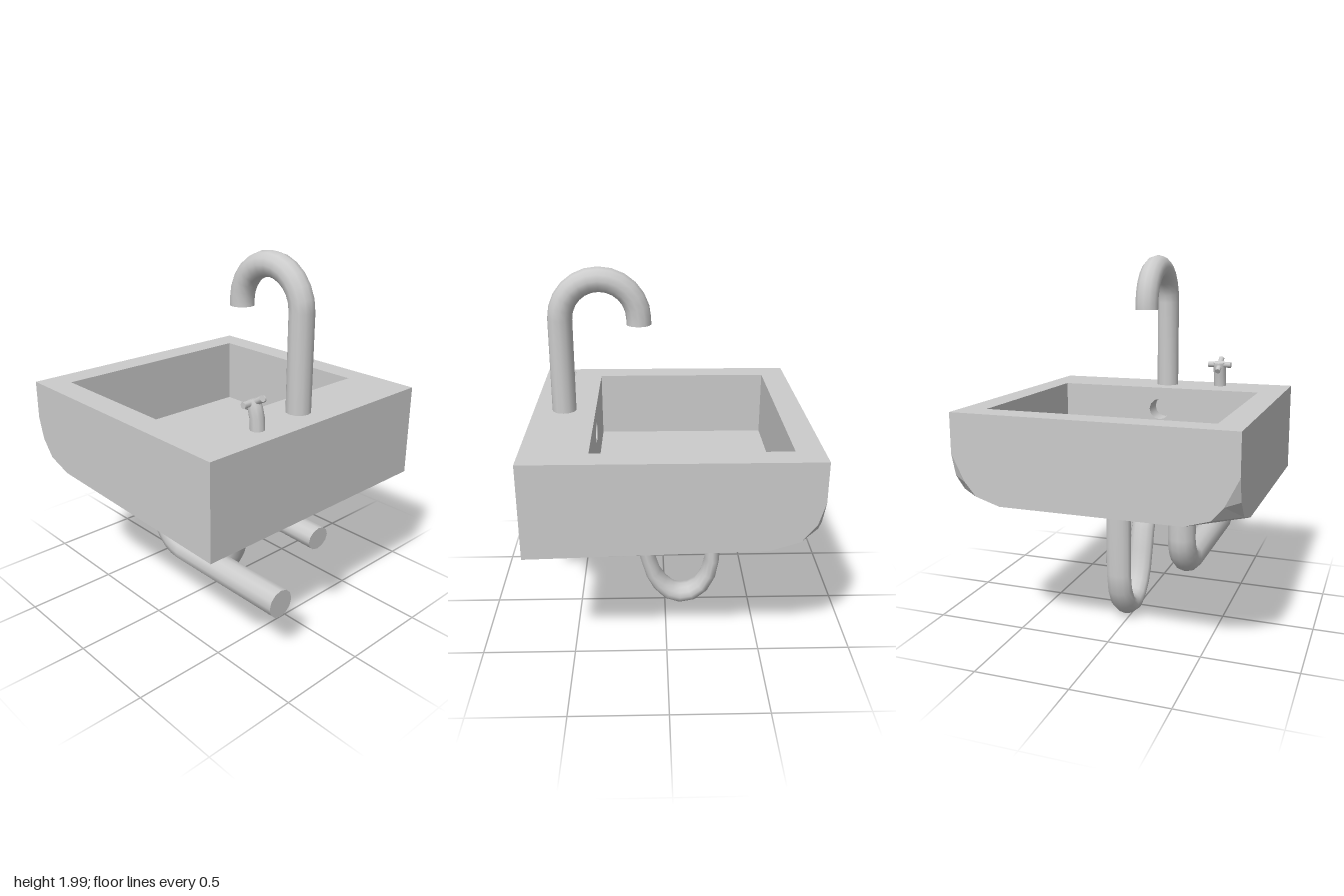
import * as THREE from 'three';

const grey = new THREE.MeshStandardMaterial({ color: 0xcccccc });

function add(parent, geometry, name) {
  const mesh = new THREE.Mesh(geometry, grey);
  mesh.name = name;
  parent.add(mesh);
  return mesh;
}

// Flat convex polygons; each is turned so that it faces its "out" direction
function facets(list) {
  const pos = [];
  for (const [pts, out] of list) {
    const p = pts.map((a) => new THREE.Vector3(...a));
    const n = new THREE.Vector3();
    for (let i = 1; i < p.length - 1; i++) {
      n.add(p[i].clone().sub(p[0]).cross(p[i + 1].clone().sub(p[0])));
    }
    if (n.dot(new THREE.Vector3(...out)) < 0) p.reverse();
    for (let i = 1; i < p.length - 1; i++) {
      for (const v of [p[0], p[i], p[i + 1]]) pos.push(v.x, v.y, v.z);
    }
  }
  const g = new THREE.BufferGeometry();
  g.setAttribute('position', new THREE.Float32BufferAttribute(pos, 3));
  g.computeVertexNormals();
  return g;
}

// Pipe swept along [x, y, radius] points in a plane of constant z, with closed ends
function pipe(path, z, rz, sides = 12) {
  const pos = [], idx = [];
  const last = path.length - 1;
  const dir = (i) => new THREE.Vector2(path[i + 1][0] - path[i][0], path[i + 1][1] - path[i][1]).normalize();
  const ring = (i) => {
    const t = dir(Math.min(i, last - 1)).add(dir(Math.max(i - 1, 0))).normalize();
    const [x, y, r] = path[i];
    for (let j = 0; j < sides; j++) {
      const a = (j / sides) * Math.PI * 2, c = Math.cos(a) * r;
      pos.push(x - t.y * c, y + t.x * c, z + Math.sin(a) * rz);
    }
  };
  for (let i = 0; i <= last; i++) ring(i);
  for (let i = 0; i < last; i++) {
    for (let j = 0; j < sides; j++) {
      const a = i * sides + j, b = i * sides + ((j + 1) % sides);
      idx.push(a, b, a + sides, b, b + sides, a + sides);
    }
  }
  for (const end of [0, last]) {
    const s = pos.length / 3;
    ring(end);
    for (let j = 1; j < sides - 1; j++) {
      if (end) idx.push(s, s + j, s + j + 1);
      else idx.push(s, s + j + 1, s + j);
    }
  }
  const g = new THREE.BufferGeometry();
  g.setAttribute('position', new THREE.Float32BufferAttribute(pos, 3));
  g.setIndex(idx);
  g.computeVertexNormals();
  return g;
}

function arc(cx, cy, r, from, to, n, radius) {
  return Array.from({ length: n + 1 }, (_, i) => {
    const a = from + ((to - from) * i) / n;
    return [cx + Math.cos(a) * r, cy + Math.sin(a) * r, radius];
  });
}

function rod(from, to, radius, sides = 8) {
  const a = new THREE.Vector3(...from), b = new THREE.Vector3(...to);
  const d = b.clone().sub(a);
  const g = new THREE.CylinderGeometry(radius, radius, d.length(), sides);
  g.applyQuaternion(new THREE.Quaternion().setFromUnitVectors(new THREE.Vector3(0, 1, 0), d.normalize()));
  const m = a.add(b).multiplyScalar(0.5);
  return g.translate(m.x, m.y, m.z);
}

function buildBasin() {
  const basin = new THREE.Group();
  basin.name = 'basin';
  const L = -0.75, R = 0.71, Z = 0.73, top = 1.23, low = 0.73;
  const l = -0.61, r = 0.375, zb = -0.6, zf = 0.59, floor = 0.86;

  // Outer walls with the two lower corners on one side rounded off
  const P = [[-0.715, 0.9], [-0.64, 0.81], [-0.49, 0.763]];
  const Q = [[0.66, 0.88], [0.6, 0.81], [0.47, 0.77]];
  const faces = [];
  for (const s of [1, -1]) {
    const A = [L, 1.02, Z * s];
    const p = P.map(([x, y]) => [x, y, Z * s]);
    const q = Q.map(([z, y]) => [L, y, z * s]);
    const out = [-1, -1, s];
    faces.push([[[R, top, Z * s], [L, top, Z * s], A, ...p, [R, low, Z * s]], [0, 0, s]]);
    faces.push([[A, p[0], q[0]], out]);
    for (let i = 0; i < 2; i++) {
      faces.push([[p[i], p[i + 1], q[i]], out], [[p[i + 1], q[i + 1], q[i]], out]);
    }
  }
  const sideCurve = (s) => [[L, top, Z * s], [L, 1.02, Z * s], ...Q.map(([z, y]) => [L, y, z * s])];
  faces.push([[...sideCurve(1), ...sideCurve(-1).reverse()], [-1, 0, 0]]);
  faces.push([[[R, top, Z], [R, low, Z], [R, low, -Z], [R, top, -Z]], [1, 0, 0]]);
  faces.push([[[R, low, Z], [-0.49, 0.763, Z], [L, 0.77, 0.47], [L, 0.77, -0.47],
    [-0.49, 0.763, -Z], [R, low, -Z]], [0, -1, 0]]);
  add(basin, facets(faces), 'outerWalls');

  // Flat rim around the bowl
  const o = [[L, top, -Z], [R, top, -Z], [R, top, Z], [L, top, Z]];
  const n = [[l, top, zb], [r, top, zb], [r, top, zf], [l, top, zf]];
  add(basin, facets(o.map((_, i) => {
    const k = (i + 1) % 4;
    return [[o[i], o[k], n[k], n[i]], [0, 1, 0]];
  })), 'rim');

  // Bowl floor and three plain walls
  const f = n.map(([x, , z]) => [x, floor, z]);
  add(basin, facets([
    [f, [0, 1, 0]],
    [[n[0], n[1], f[1], f[0]], [0, 0, 1]],
    [[n[2], n[3], f[3], f[2]], [0, 0, -1]],
    [[n[3], n[0], f[0], f[3]], [1, 0, 0]],
  ]), 'bowl');

  // Tap-side bowl wall, pierced by the overflow
  const wall = new THREE.Shape([[zb, floor], [zf, floor], [zf, top], [zb, top]].map((v) => new THREE.Vector2(...v)));
  const hole = new THREE.Path();
  hole.absarc(0, 1.1, 0.062, 0, Math.PI * 2, true);
  wall.holes.push(hole);
  add(basin, new THREE.ShapeGeometry(wall, 6).rotateY(-Math.PI / 2).translate(r, 0, 0), 'overflowWall');
  const tunnel = new THREE.CylinderGeometry(0.062, 0.062, 0.12, 12, 1, true).rotateZ(Math.PI / 2);
  const lining = add(basin, tunnel.translate(r + 0.06, 1.1, 0), 'overflowTunnel');
  lining.material = grey.clone();
  lining.material.side = THREE.BackSide;
  add(basin, new THREE.CircleGeometry(0.062, 12).rotateY(-Math.PI / 2).translate(r + 0.12, 1.1, 0), 'overflowEnd');
  return basin;
}

export function createModel() {
  const model = new THREE.Group();
  model.name = 'washBasin';
  model.add(buildBasin());

  // Gooseneck spout
  add(model, pipe([[0.545, 1.2, 0.065], ...arc(0.34, 1.73, 0.205, 0, Math.PI, 12, 0.065),
    [0.135, 1.7, 0.065]], 0, 0.065), 'spout');

  // Leaning valve with a cross handle
  const valve = new THREE.Group();
  valve.name = 'valve';
  add(valve, pipe([[0.582, 1.2, 0.037], [0.577, 1.29, 0.037], [0.562, 1.34, 0.037],
    [0.55, 1.375, 0.022]], 0.32, 0.037, 10), 'valveBody');
  add(valve, rod([0.555, 1.36, 0.253], [0.555, 1.36, 0.39], 0.017), 'handleBar');
  add(valve, rod([0.507, 1.325, 0.32], [0.61, 1.392, 0.32], 0.017), 'handleBar');
  model.add(valve);

  // Waste pipe
  add(model, pipe([[-0.16, 0.8, 0.076], ...arc(0.01, 0.508, 0.17, Math.PI, Math.PI * 1.5, 6, 0.076),
    [0.745, 0.338, 0.076]], 0.3, 0.077), 'wastePipe');

  // Supply pipe with a deep U bend, flattened in places
  add(model, pipe([
    [-0.278, 0.8, 0.042], [-0.278, 0.3, 0.044], [-0.258, 0.2, 0.047], [-0.215, 0.12, 0.051],
    [-0.155, 0.075, 0.056], [-0.09, 0.064, 0.058], [-0.025, 0.085, 0.055], [0.03, 0.14, 0.05],
    [0.07, 0.21, 0.047], [0.1, 0.31, 0.045], [0.13, 0.42, 0.047], [0.17, 0.5, 0.052],
    [0.225, 0.555, 0.057], [0.295, 0.577, 0.06], [0.697, 0.566, 0.06],
  ], -0.02, 0.07), 'supplyPipe');

  return model;
}
